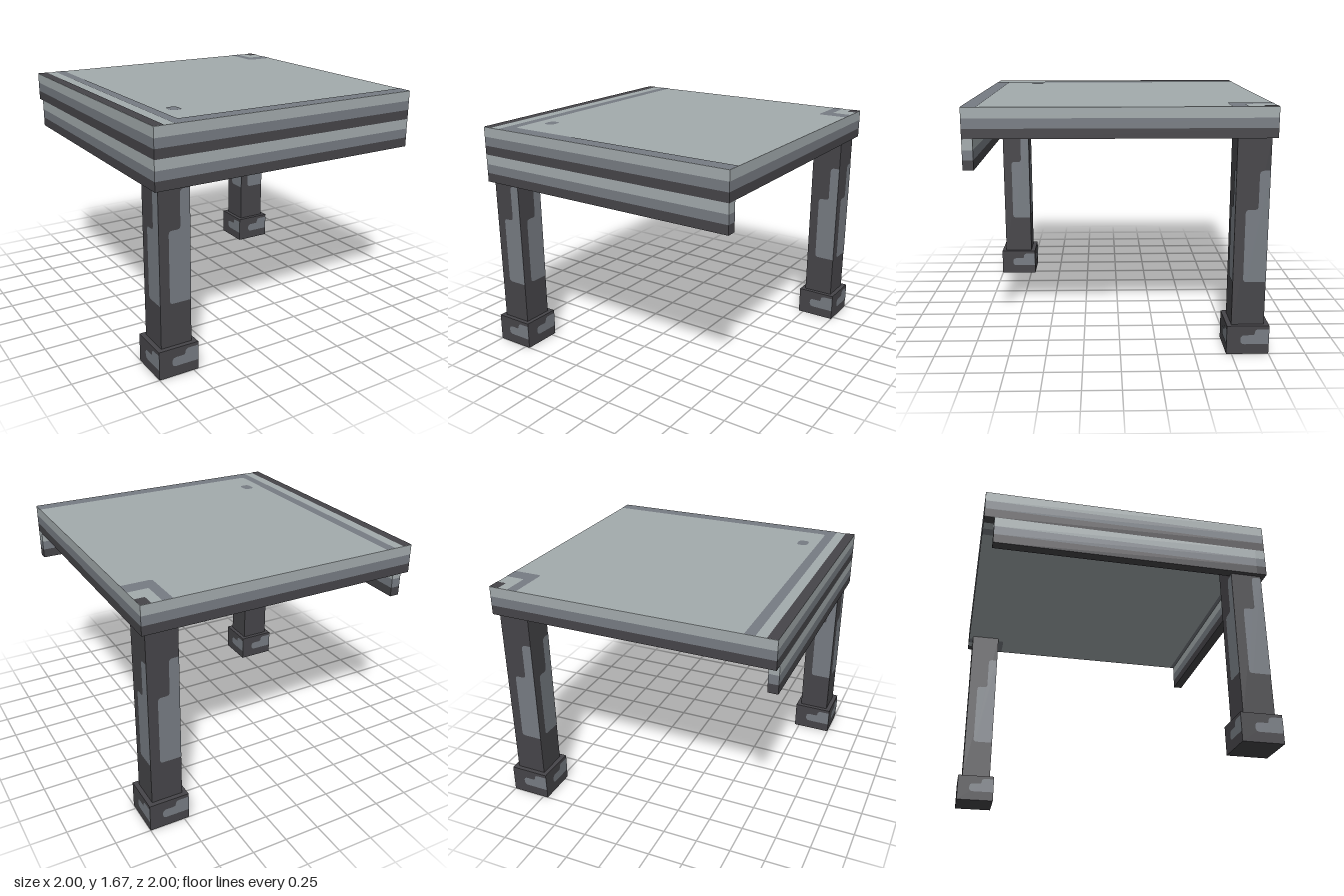
import * as THREE from 'three';

const mat = (name, color) => Object.assign(new THREE.MeshStandardMaterial({ color }), { name });

// Polygon with rounded corners; each point is [x, y, radius]
function roundedShape(pts) {
  const shape = new THREE.Shape();
  const n = pts.length;
  pts.forEach(([x, y, r = 0], i) => {
    const p = new THREE.Vector2(x, y);
    const toward = (q) => new THREE.Vector2(q[0], q[1]).sub(p).setLength(r).add(p);
    const a = toward(pts[(i + n - 1) % n]);
    const b = toward(pts[(i + 1) % n]);
    if (i === 0) shape.moveTo(a.x, a.y);
    else shape.lineTo(a.x, a.y);
    if (r > 0) shape.quadraticCurveTo(x, y, b.x, b.y);
  });
  shape.closePath();
  return shape;
}

export function createModel() {
  const light = mat('light stone', 0xa3abad);
  const mid = mat('mid grey', 0x777c83);
  const dark = mat('dark grey', 0x464549);
  const model = new THREE.Group();
  model.name = 'cornerTable';
  const GAP = 0.002;

  const add = (parent, name, geometry, material) => {
    const mesh = new THREE.Mesh(geometry, material);
    mesh.name = name;
    parent.add(mesh);
    return mesh;
  };
  const box = (parent, name, size, pos, material) => {
    const mesh = add(parent, name, new THREE.BoxGeometry(...size), material);
    mesh.position.set(...pos);
    return mesh;
  };

  // Three stacked colour bands, light at the top
  function bandedBeam(name, w, d, x, z, base, underside) {
    const group = new THREE.Group();
    group.name = name;
    const levels = [0, 0.065, 0.13, 0.2];
    [dark, mid, light].forEach((m, i) => {
      const h = levels[i + 1] - levels[i];
      const faces = i === 0 ? [m, m, m, underside, m, m] : m;
      box(group, 'band', [w, h, d], [x, base + levels[i] + h / 2, z], faces);
    });
    model.add(group);
  }
  bandedBeam('tableTop', 2, 2, 0, 0, 1.47, light);
  bandedBeam('frontApron', 2, 0.07, 0, 0.965, 1.27, dark);
  bandedBeam('sideApron', 0.07, 1.86, -0.965, 0, 1.27, dark);

  // Border stripes, stepped corner and dot, given as x, z; repeated underneath
  const r = 0.03;
  const markings = [
    ['edgeStripe', dark, [[-1, -1], [-0.93, -1], [-0.93, 1], [-1, 1]]],
    ['border', mid, [[-0.86, -1], [-0.79, -1], [-0.79, 0.9, r], [1, 0.9], [1, 1], [-0.86, 1]]],
    ['cornerBand', mid, [[0.79, -1], [0.86, -1], [0.86, -0.805, 0.01], [1, -0.805], [1, -0.7], [0.79, -0.7, 0.02]]],
    ['cornerPatch', dark, [[0.93, -1], [1, -1], [1, -0.91], [0.93, -0.91, 0.01]]],
    ['dot', mid, [[-0.72, 0.6, 0.035], [-0.64, 0.6, 0.035], [-0.64, 0.7, 0.035], [-0.72, 0.7, 0.035]]],
  ];
  for (const side of [1, -1]) {
    for (const [name, material, pts] of markings) {
      const shape = roundedShape(pts.map(([x, z, rad]) => [x, -side * z, rad]));
      const mesh = add(model, name, new THREE.ShapeGeometry(shape, 5), material);
      mesh.rotation.x = -side * Math.PI / 2;
      mesh.position.y = side > 0 ? 1.67 + GAP : 1.47 - GAP;
    }
  }

  // Legs with a stepped worn patch on every side
  const legPatch = new THREE.ShapeGeometry(roundedShape([
    [-0.042, 0.5, 0.025], [0.11, 0.5], [0.11, 1.255], [0.04, 1.255, 0.03],
    [0.04, 0.995, 0.025], [-0.042, 0.995, 0.025],
  ]), 5);
  const footPatch = new THREE.ShapeGeometry(roundedShape([
    [-0.05, 0.07, 0.03], [0.143, 0.07], [0.143, 0.177], [0.045, 0.177, 0.03],
    [0.045, 0.135, 0.015], [-0.05, 0.135, 0.03],
  ]), 5);
  function leg(name, x, z) {
    const group = new THREE.Group();
    group.name = name;
    group.position.set(x, 0, z);
    box(group, 'post', [0.22, 1.27, 0.22], [0, 0.835, 0], dark);
    box(group, 'foot', [0.286, 0.2, 0.286], [0, 0.1, 0], dark);
    for (let i = 0; i < 4; i++) {
      const face = new THREE.Group();
      face.name = 'legMarkings';
      face.rotation.y = i * Math.PI / 2;
      add(face, 'postPatch', legPatch, mid).position.z = 0.11 + GAP;
      add(face, 'footPatch', footPatch, mid).position.z = 0.143 + GAP;
      group.add(face);
    }
    model.add(group);
  }
  leg('frontRightLeg', -0.857, 0.857);
  leg('backLeftLeg', 0.857, -0.857);

  return model;
}
